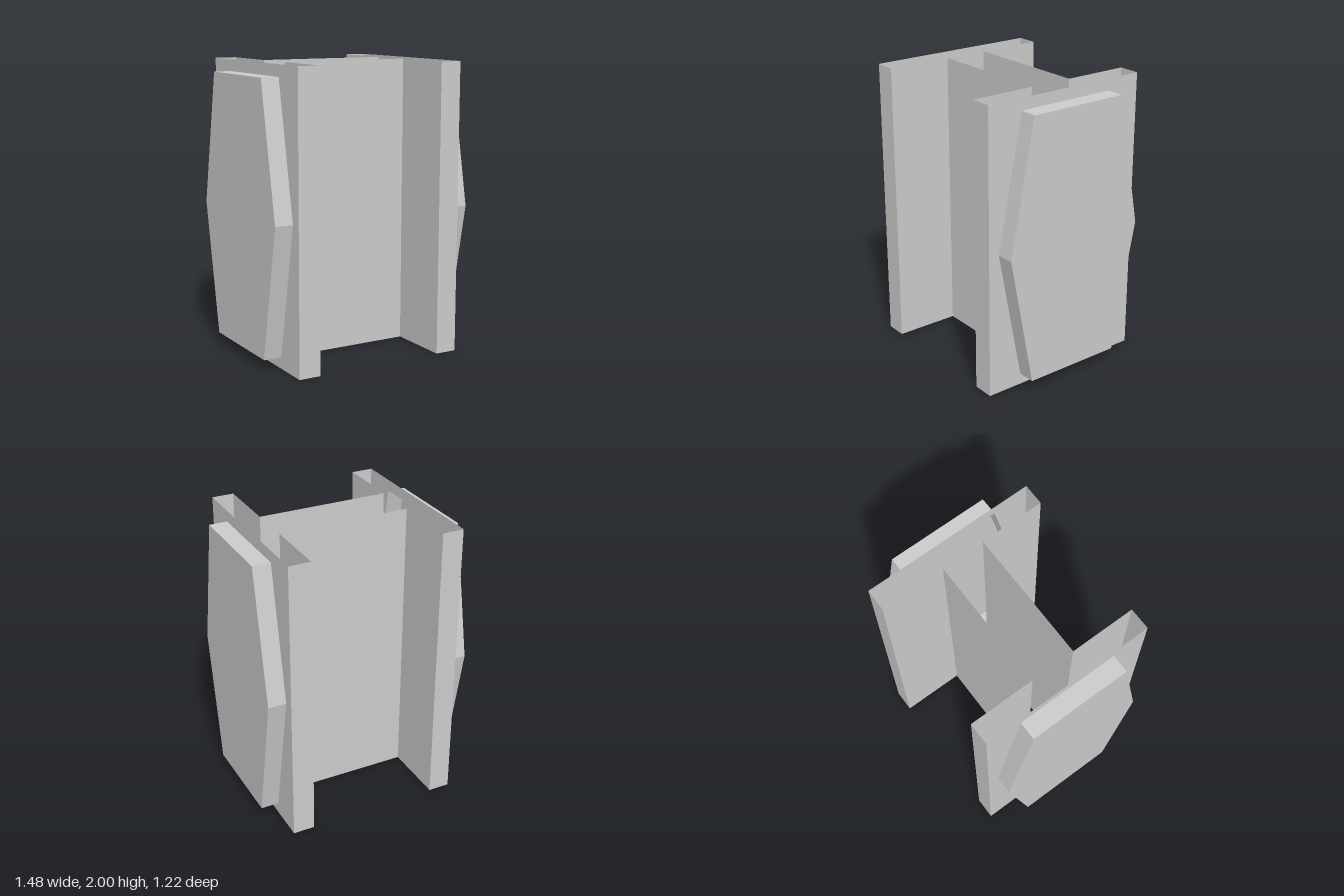
import * as THREE from 'three';

const H = 2, OUT = 0.612, IN = 0.46, WEB = 0.155, PANEL = 0.738;
const material = new THREE.MeshStandardMaterial({ color: 0xcccccc, flatShading: true, side: THREE.DoubleSide });

// Flat quads joining two rows of points, facing (along x up the rows)
function strip(low, high) {
  const pos = [];
  for (let i = 0; i < low.length - 1; i++) {
    for (const p of [low[i], low[i + 1], high[i + 1], low[i], high[i + 1], high[i]]) pos.push(...p);
  }
  const g = new THREE.BufferGeometry();
  g.setAttribute('position', new THREE.Float32BufferAttribute(pos, 3));
  g.computeVertexNormals();
  return g;
}

function mesh(geometry, name) {
  const m = new THREE.Mesh(geometry, material);
  m.name = name;
  return m;
}

export function createModel() {
  const model = new THREE.Group();
  model.name = 'hollowBeam';

  // Front half of the I-shaped outline (x, z)
  const outline = [[-OUT, OUT], [-IN, OUT], [-IN, WEB], [IN, WEB], [IN, OUT], [OUT, OUT]];
  const webWall = strip(outline.map(([x, z]) => [x, 0, z]), outline.map(([x, z]) => [x, H, z]));

  // Hexagon of the raised side panel, counter-clockwise
  const hex = [[-0.357, 0.08], [0.357, 0.08], [0.535, 1], [0.357, 1.92], [-0.357, 1.92], [-0.535, 1]]
    .map(([x, y]) => new THREE.Vector2(x, y));

  // Flange side, open behind the raised panel
  const side = new THREE.Shape([[-OUT, 0], [OUT, 0], [OUT, H], [-OUT, H]].map(([x, y]) => new THREE.Vector2(x, y)));
  side.holes.push(new THREE.Path(hex));
  const flangeSide = new THREE.ShapeGeometry(side).translate(0, 0, OUT).rotateY(Math.PI / 2);

  // Raised panel: face and rim
  const panelFace = new THREE.ShapeGeometry(new THREE.Shape(hex)).translate(0, 0, PANEL).rotateY(Math.PI / 2);
  const loop = [...hex, hex[0]];
  const panelRim = strip(loop.map(p => [p.x, p.y, OUT]), loop.map(p => [p.x, p.y, PANEL])).rotateY(Math.PI / 2);

  // Each half repeats, turned half a circle; the ends of the beam stay open
  for (let i = 0; i < 2; i++) {
    const half = new THREE.Group();
    half.name = i ? 'backRightHalf' : 'frontLeftHalf';
    half.add(
      mesh(webWall, 'webWall'),
      mesh(flangeSide, 'flangeSide'),
      mesh(panelFace, 'panelFace'),
      mesh(panelRim, 'panelRim')
    );
    half.rotation.y = i * Math.PI;
    model.add(half);
  }
  return model;
}
